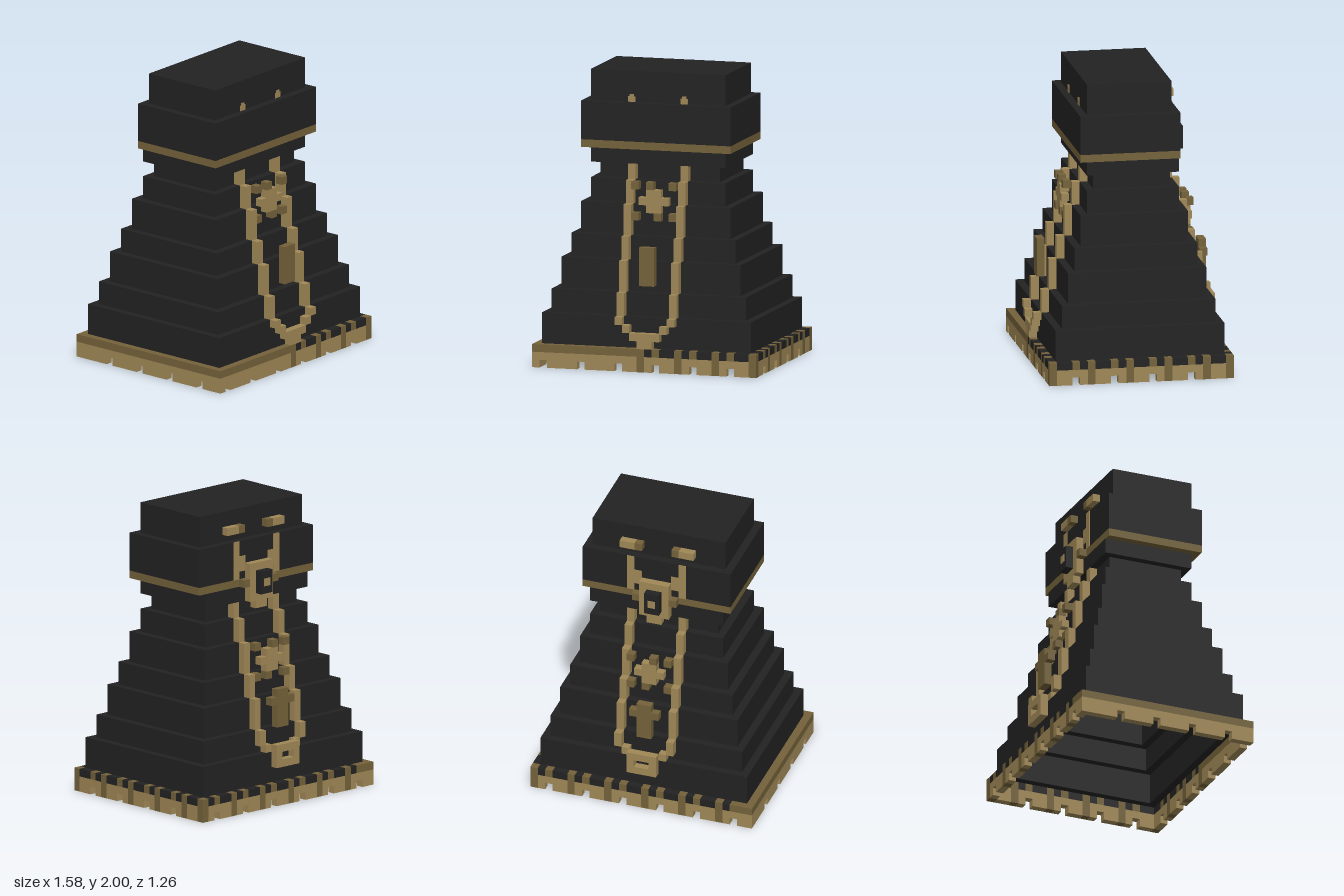
import * as THREE from 'three';
import { mergeGeometries } from 'three/addons/utils/BufferGeometryUtils.js';

const U = 2 / 38; // one block

function material(name, color) {
  const m = new THREE.MeshStandardMaterial({ color });
  m.name = name;
  return m;
}

// box from block bounds [x0, x1, y0, y1, z0, z1]
function block([x0, x1, y0, y1, z0, z1]) {
  return new THREE.BoxGeometry((x1 - x0) * U, (y1 - y0) * U, (z1 - z0) * U)
    .translate((x0 + x1) / 2 * U, (y0 + y1) / 2 * U, (z0 + z1) / 2 * U);
}

const mirror = (boxes) => boxes.flatMap((b) => [b, [-b[1], -b[0], ...b.slice(2)]]);
const mod5 = (n) => ((n % 5) + 5) % 5;

export function createModel() {
  const group = new THREE.Group();
  const black = material('black', 0x222222);
  const gold = material('gold', 0xa08857);
  const bronze = material('bronze', 0x74623a);

  function part(name, mat, boxes) {
    const mesh = new THREE.Mesh(mergeGeometries(boxes.map(block)), mat);
    mesh.name = name;
    group.add(mesh);
  }

  // hollow stepped body: [half width, back z, front z, bottom, top]
  const steps = [
    [14, -11, 11, 3, 7], [13, -10, 10, 7, 10], [12, -9, 9, 10, 14], [11, -8, 8, 14, 17],
    [10, -7, 7, 17, 21], [9, -6, 6, 21, 24], [8, -5, 5, 24, 26], [9, -6, 6, 26, 28],
    [10, -6, 7, 29, 34], [9, -5, 6, 34, 38],
  ];
  const ring = ([w, b, f, y0, y1]) => [
    [-w, w, y0, y1, f - 1, f], [-w, w, y0, y1, b, b + 1],
    [-w, 1 - w, y0, y1, b + 1, f - 1], [w - 1, w, y0, y1, b + 1, f - 1],
  ];
  steps.forEach((s, i) => part('bodyStep' + (i + 1), black, ring(s)));
  part('headTop', black, [[-8, 8, 37, 38, -4, 5]]);
  part('headBand', bronze, ring([10, -6, 7, 28, 29]));

  // hem: a one-block border with notches, pillars and battlements
  const hem = { gold: [], bronze: [], black: [] };
  function hemCell(x, z, n, notch, pillar, plain) {
    const add = (list, y0, y1) => list.push([x, x + 1, y0, y1, z, z + 1]);
    const isNotch = mod5(n) === notch;
    const isPillar = mod5(n) === pillar && !plain;
    add(isPillar ? hem.bronze : hem.gold, isNotch ? 1 : 0, 2);
    add(isNotch || isPillar || plain ? hem.bronze : hem.black, 2, 3);
  }
  for (let x = -15; x < 15; x++) {
    hemCell(x, 11, x, 1, 4, x < -1);
    hemCell(x, -12, x, 2, 4, x < -12);
  }
  for (let z = -11; z < 11; z++) {
    hemCell(14, z, z, 3, 1, false);
    hemCell(-15, z, z, 3, 1, true);
  }
  part('hemBorder', gold, hem.gold);
  part('hemBattlements', bronze, hem.bronze);
  part('hemGaps', black, hem.black);

  // long strips following the steps at front and back
  const front = [], back = [];
  for (const [, b, f, y0, y1] of steps.slice(0, 7)) {
    front.push([3, 4, Math.max(y0, 6), y1, f, f + 1]);
    if (y1 > 8) back.push([3, 4, Math.max(y0, 8), y1, b - 1, b]);
  }
  part('frontStrips', gold, mirror(front));
  part('backStrips', gold, mirror(back));
  part('frontPoint', gold, [
    ...mirror([[2, 3, 5, 6, 11, 12]]), [-2, 2, 4, 5, 11, 12], [-1, 1, 3, 4, 11, 12],
  ]);
  part('backLoop', gold, [
    ...mirror([[2, 3, 7, 8, -11, -10], [1, 2, 6, 7, -12, -11]]),
    [-2, 2, 7, 8, -12, -11], [-2, 2, 5, 6, -12, -11],
  ]);

  // stars with small studs around them
  function star(side, y, z) {
    part(side + 'Star', gold, [
      [-1, 1, y + 1, y + 2, z, z + 1], [-2, 2, y, y + 1, z, z + 1], [-1, 1, y - 1, y, z, z + 1],
    ]);
    part(side + 'StarStuds', bronze, [
      ...mirror([[2, 3, y + 2, y + 3, z, z + 1], [2, 3, y - 2, y - 1, z, z + 1]]),
      [-1, 0, y + 2, y + 3, z, z + 1], [0, 1, y - 2, y - 1, z, z + 1],
    ]);
  }
  star('front', 21, 7);
  star('back', 18, -9);

  // pendants below the stars
  part('frontPendant', bronze, [[-1, 1, 11, 16, 10, 11]]);
  part('backPendant', bronze, [
    [-1, 1, 10, 13, -11, -10], [-2, 2, 13, 14, -11, -10], [-1, 1, 14, 15, -11, -10],
  ]);

  // eyes
  part('eyes', gold, mirror([[3, 4, 34, 34.7, 6, 6.1], [3.2, 3.8, 34.7, 35, 6, 6.1]]));

  // buckle and straps on the back of the head
  part('buckle', gold, [
    [-2, 2, 30, 31, -7, -6], [-2, 2, 26, 27, -7, -6],
    ...mirror([[1, 2, 27, 30, -7, -6]]), [-1, 1, 25, 26, -7, -6],
  ]);
  part('buckleSides', bronze, mirror([[2, 3, 28, 29, -7, -6]]));
  part('buckleCentre', black, [[-1, 1, 27, 30, -8, -6]]);
  part('buckleStud', gold, [[-0.5, 0.5, 28, 29, -8.1, -8]]);
  part('backStraps', gold, mirror([[3, 4, 29, 34, -6.1, -6], [2, 3, 30, 32, -6.1, -6]]));
  part('strapBars', gold, mirror([[3, 5, 35, 36, -6, -5]]));
  part('strapBarEnds', bronze, mirror([[2, 3, 35, 36, -6, -5]]));

  return group;
}
